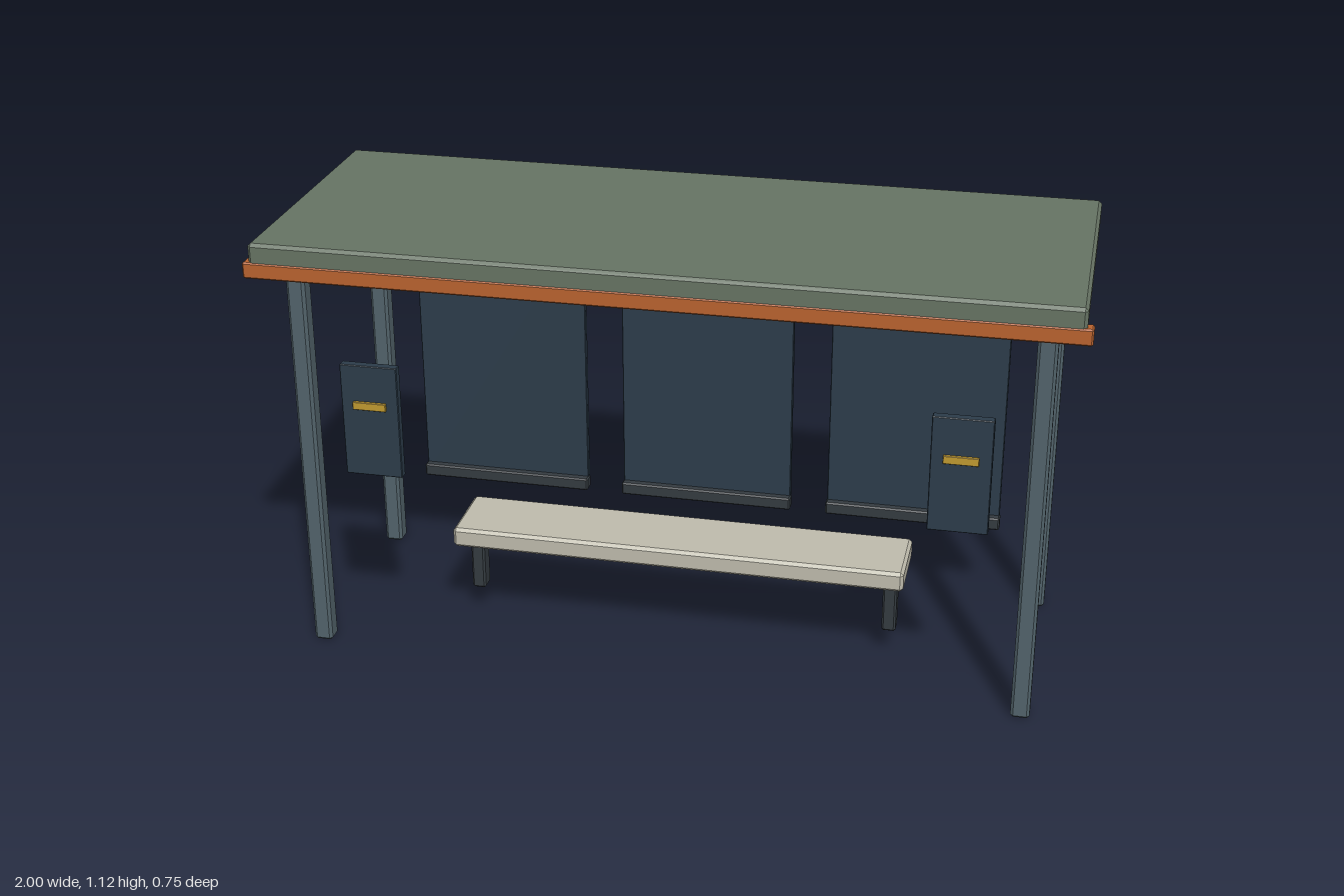
import * as THREE from 'three';
import { ConvexGeometry } from 'three/addons/geometries/ConvexGeometry.js';

// Box with every edge cut by a flat chamfer c
function chamferBox(w, h, d, c) {
  const pts = [];
  for (const sx of [-1, 1]) for (const sy of [-1, 1]) for (const sz of [-1, 1]) {
    const x = sx * w / 2, y = sy * h / 2, z = sz * d / 2;
    pts.push(
      new THREE.Vector3(x, y - sy * c, z - sz * c),
      new THREE.Vector3(x - sx * c, y, z - sz * c),
      new THREE.Vector3(x - sx * c, y - sy * c, z)
    );
  }
  return new ConvexGeometry(pts);
}

const paint = (color) => new THREE.MeshStandardMaterial({ color });

export function createModel() {
  const group = new THREE.Group();
  group.name = 'shelter';

  const roofGreen = paint(0x667363);
  const postGrey = paint(0x52636b);
  const panelBlue = paint(0x2c3c4a);
  const trimOrange = paint(0xb9632f);
  const seatCream = paint(0xbebbac);
  const darkMetal = paint(0x343b40);
  const gold = paint(0xc09a30);

  // Places a chamfered box by its extents: [min, max] on each axis
  function part(name, [x0, x1], [y0, y1], [z0, z1], c, material) {
    const mesh = new THREE.Mesh(chamferBox(x1 - x0, y1 - y0, z1 - z0, c), material);
    mesh.position.set((x0 + x1) / 2, (y0 + y1) / 2, (z0 + z1) / 2);
    mesh.name = name;
    group.add(mesh);
  }
  const around = (centre, size) => [centre - size / 2, centre + size / 2];

  // Roof and front trim
  part('roof', [-0.985, 0.985], [1.052, 1.115], [-0.372, 0.372], 0.008, roofGreen);
  part('frontTrim', [-1, 1], [1.027, 1.068], [0.34, 0.375], 0.004, trimOrange);

  // Back wall panels with sills
  for (const x of [-0.56, 0, 0.56]) {
    part('backPanel', around(x, 0.46), [0.23, 0.98], [-0.288, -0.27], 0.002, panelBlue);
    part('panelSill', around(x, 0.464), [0.222, 0.256], [-0.286, -0.249], 0.004, darkMetal);
  }

  for (const s of [-1, 1]) {
    // Corner posts
    for (const z of [-0.28, 0.28]) {
      part('post', around(s * 0.9, 0.047), [0, 1.053], around(z, 0.047), 0.007, postGrey);
    }
    // Front notice boards with a gold strip
    part('noticeBoard', around(s * 0.722, 0.145), [0.505, 0.8], [0.296, 0.32], 0.002, panelBlue);
    part('noticeStrip', around(s * 0.722, 0.084), [0.685, 0.705], [0.316, 0.328], 0.001, gold);
    // Bench legs
    part('benchLeg', around(s * 0.545, 0.036), [0.071, 0.235], around(0.05, 0.046), 0.005, darkMetal);
  }

  // Bench seat
  part('benchSeat', [-0.585, 0.585], [0.23, 0.283], [-0.048, 0.15], 0.008, seatCream);

  return group;
}
